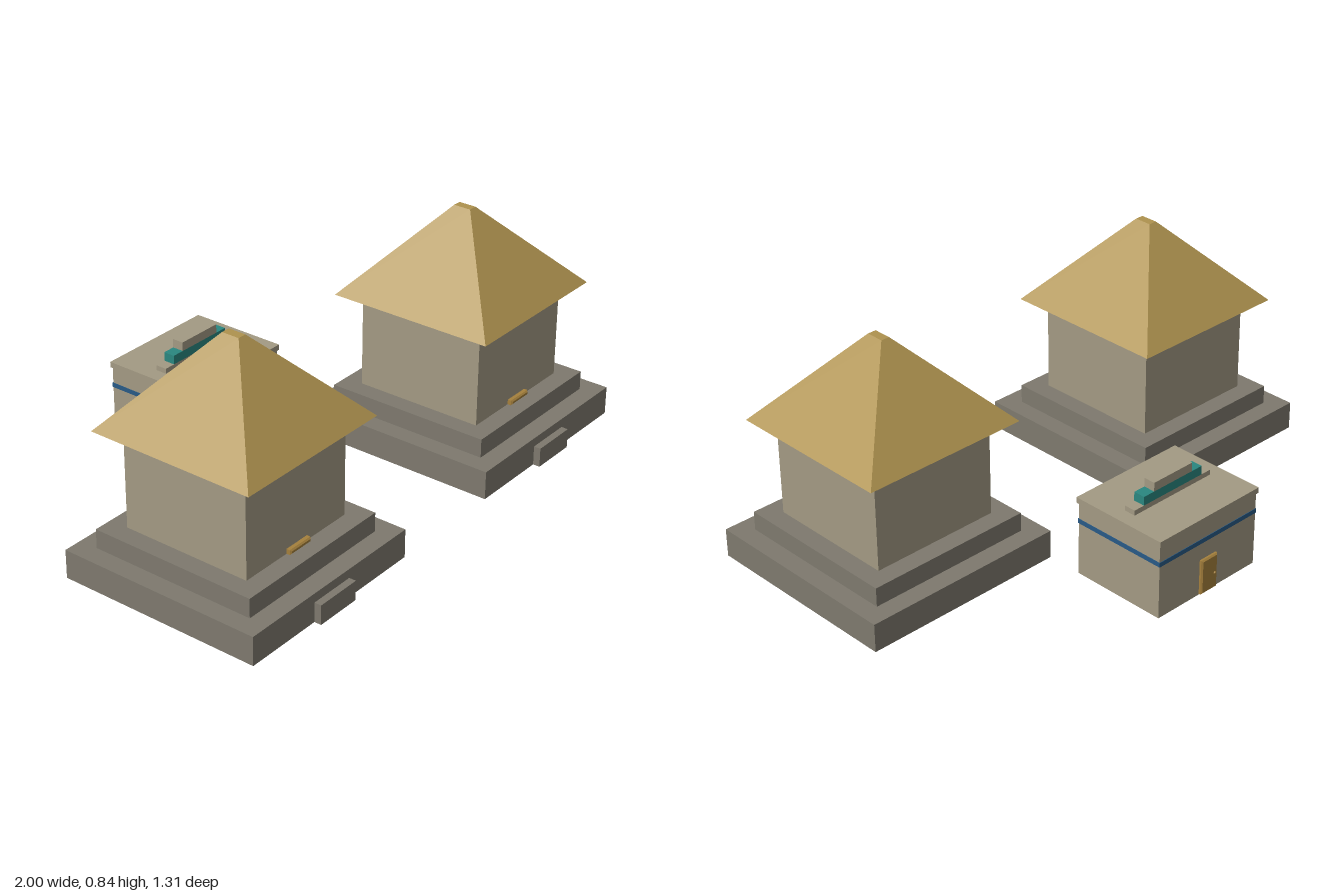
import * as THREE from 'three';

function material(name, color) {
  const m = new THREE.MeshStandardMaterial({ color });
  m.name = name;
  return m;
}

// Box given by its ranges on x, y and z
function block(parent, name, mat, [x0, x1], [y0, y1], [z0, z1]) {
  const mesh = new THREE.Mesh(new THREE.BoxGeometry(x1 - x0, y1 - y0, z1 - z0), mat);
  mesh.position.set((x0 + x1) / 2, (y0 + y1) / 2, (z0 + z1) / 2);
  mesh.name = name;
  parent.add(mesh);
  return mesh;
}

// Box whose +y face is shrunk to topW by topD
function frustum(w, h, d, topW, topD) {
  const g = new THREE.BoxGeometry(w, h, d);
  const p = g.attributes.position;
  for (let i = 0; i < p.count; i++) {
    if (p.getY(i) > 0) {
      p.setX(i, Math.sign(p.getX(i)) * topW / 2);
      p.setZ(i, Math.sign(p.getZ(i)) * topD / 2);
    }
  }
  g.computeVertexNormals();
  return g;
}

// Thin slab with a chamfered outer face, pointing along +z
function panel(parent, name, mat, w, h, depth, chamfer) {
  const group = new THREE.Group();
  group.name = name;
  const back = new THREE.Mesh(new THREE.BoxGeometry(w, h, depth - chamfer), mat);
  back.position.z = (depth - chamfer) / 2;
  const face = new THREE.Mesh(
    frustum(w, chamfer, h, w - 2 * chamfer, h - 2 * chamfer).rotateX(Math.PI / 2), mat);
  face.position.z = depth - chamfer / 2;
  group.add(back, face);
  parent.add(group);
  return group;
}

export function createModel() {
  const wallStone = material('wallStone', 0xa39a83);
  const baseStone = material('baseStone', 0x7e796e);
  const thatch = material('thatch', 0xae924f);
  const wood = material('wood', 0xa5803c);
  const teal = material('teal', 0x2a8780);
  const blue = material('blue', 0x285a86);
  const model = new THREE.Group();
  model.name = 'shrines';

  // Two matching huts on stepped plinths
  for (const side of [-1, 1]) {
    const hut = new THREE.Group();
    hut.name = side < 0 ? 'rightHut' : 'leftHut';
    hut.position.set(side * 0.615, 0, 0.245);
    model.add(hut);
    const square = (name, mat, half, y) => block(hut, name, mat, [-half, half], y, [-half, half]);
    square('lowerPlinth', baseStone, 0.385, [0, 0.105]);
    square('upperPlinth', baseStone, 0.315, [0.105, 0.175]);
    square('walls', wallStone, 0.245, [0.175, 0.53]);
    block(hut, 'frontStep', baseStone, [-0.088, 0.088], [0, 0.072], [0.385, 0.411]);

    const roof = new THREE.Mesh(frustum(0.63, 0.314, 0.63, 0.032, 0.066), thatch);
    roof.position.y = 0.687;
    roof.name = 'roof';
    hut.add(roof);

    const sill = panel(hut, 'threshold', wood, 0.102, 0.018, 0.018, 0.005);
    sill.position.set(0, 0.184, 0.245);
  }

  // Small flat-roofed house behind, its door at the back
  const house = new THREE.Group();
  house.name = 'house';
  house.position.z = -0.457;
  model.add(house);
  block(house, 'houseWalls', wallStone, [-0.23, 0.23], [0, 0.277], [-0.183, 0.183]);
  block(house, 'houseStripe', blue, [-0.232, 0.232], [0.199, 0.216], [-0.185, 0.185]);
  block(house, 'houseRoof', wallStone, [-0.235, 0.235], [0.277, 0.298], [-0.189, 0.189]);

  // Stepped roof crest
  const tiers = [[0.18, 0.298, 0.317, wallStone], [0.137, 0.317, 0.35, teal], [0.09, 0.35, 0.383, wallStone]];
  tiers.forEach(([half, y0, y1, mat], i) =>
    block(house, 'crestTier' + (i + 1), mat, [-half, half], [y0, y1], [-0.022, 0.022]));

  const door = panel(house, 'door', wood, 0.076, 0.132, 0.012, 0.005);
  door.position.set(0, 0.069, -0.183);
  door.rotation.y = Math.PI;
  const knob = new THREE.Mesh(new THREE.SphereGeometry(0.005, 12, 8), wood);
  knob.name = 'doorKnob';
  knob.position.set(0.024, -0.005, 0.012);
  door.add(knob);

  return model;
}
